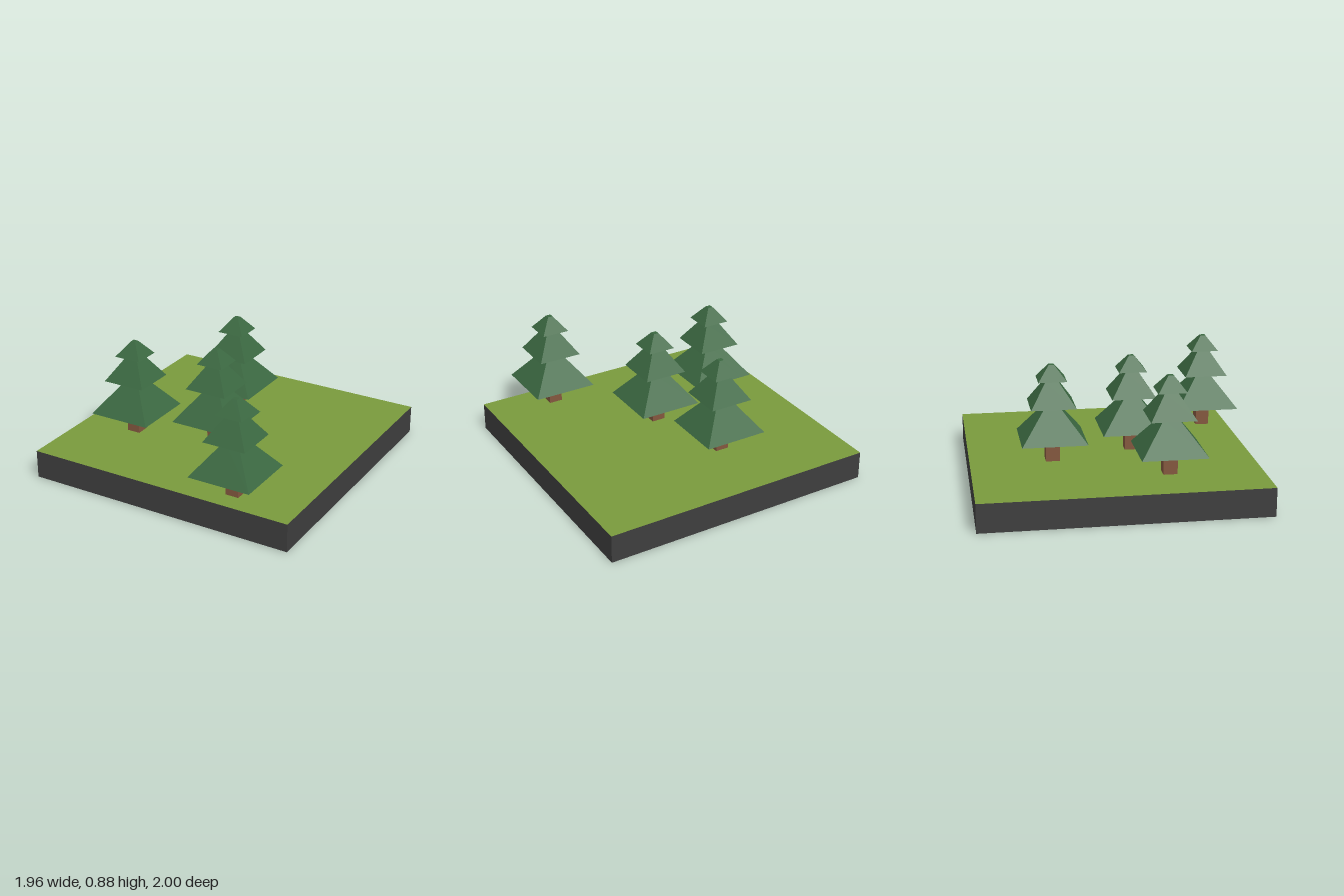
import * as THREE from 'three';

const material = (name, color, flatShading = false) => {
  const m = new THREE.MeshStandardMaterial({ color, flatShading });
  m.name = name;
  return m;
};

// Half-width and height of the foliage outline, from the lowest tier to the tip
const FOLIAGE = [
  [0.047, 0.333], [0.225, 0.36], [0.05, 0.587], [0.155, 0.598],
  [0.045, 0.764], [0.098, 0.775], [0.018, 0.878], [0, 0.878],
];

// Tree positions on the ground (x, z)
const TREES = [[-0.183, -0.428], [-0.013, 0.15], [-0.57, 0.32], [0.5, 0.773]];

export function createModel() {
  const model = new THREE.Group();
  model.name = 'forestTile';

  const grass = material('grass green', 0x799a3c);
  const stone = material('charcoal', 0x3e3e3e);
  const bark = material('bark brown', 0x83573e);
  const needles = material('pine green', 0x3b6841, true);

  // Ground slab: charcoal block with a grass top face
  const ground = new THREE.Mesh(
    new THREE.BoxGeometry(1.956, 0.2, 1.956),
    [stone, stone, grass, stone, stone, stone],
  );
  ground.name = 'ground';
  ground.position.set(0, 0.1, -0.022);
  model.add(ground);

  // Shared tree parts: square trunk and a four-sided tiered crown
  const trunkGeometry = new THREE.BoxGeometry(0.096, 0.16, 0.096).translate(0, 0.28, 0);
  const outline = FOLIAGE.map(([half, y]) => new THREE.Vector2(half * Math.SQRT2, y));
  const crownGeometry = new THREE.LatheGeometry(outline, 4, Math.PI / 4).toNonIndexed();
  crownGeometry.computeVertexNormals();

  TREES.forEach(([x, z], i) => {
    const tree = new THREE.Group();
    tree.name = `tree${i + 1}`;
    const trunk = new THREE.Mesh(trunkGeometry, bark);
    trunk.name = 'trunk';
    const crown = new THREE.Mesh(crownGeometry, needles);
    crown.name = 'foliage';
    tree.add(trunk, crown);
    tree.position.set(x, 0, z);
    model.add(tree);
  });

  return model;
}
